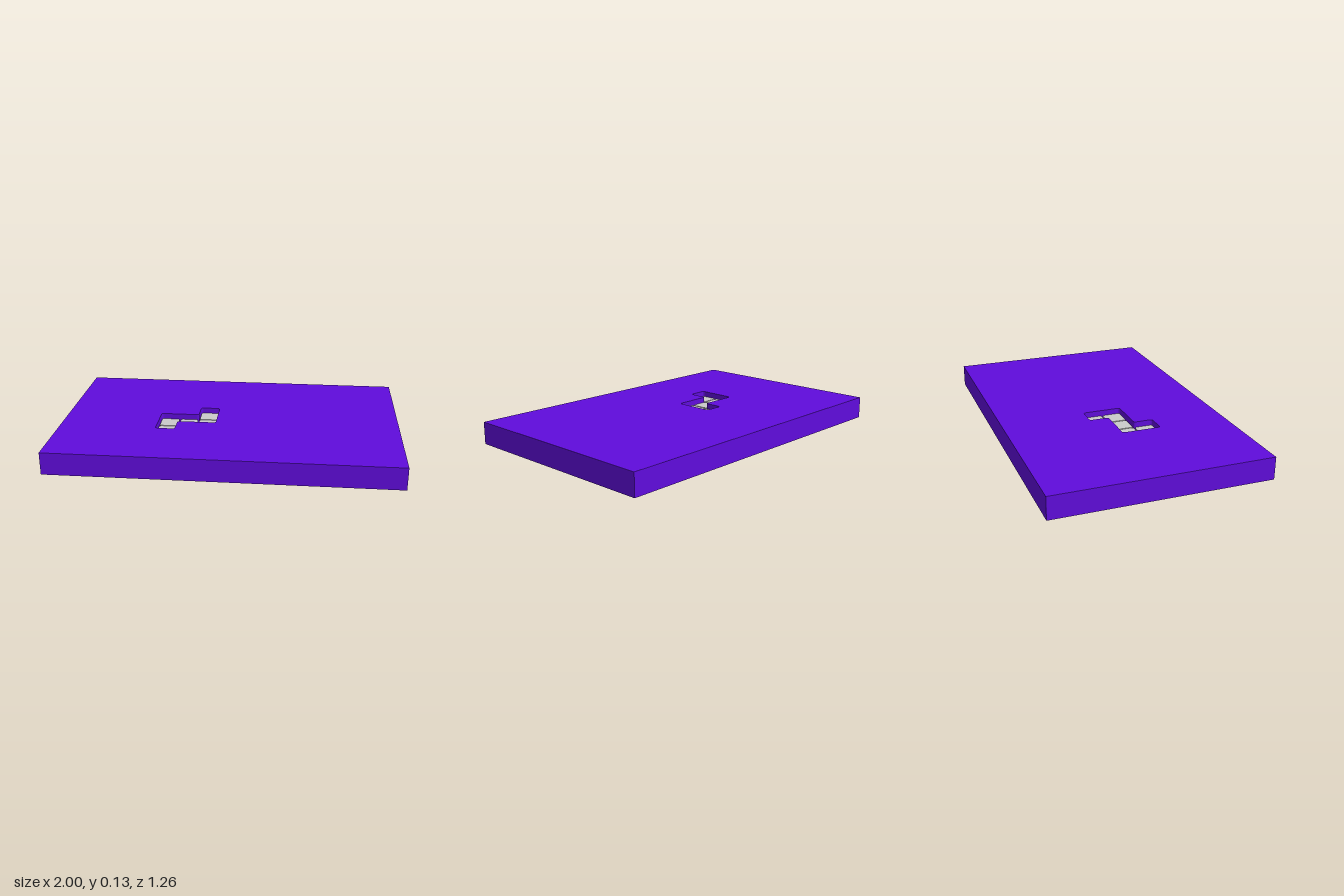
import * as THREE from 'three';

const HEIGHT = 0.132, FLOOR = 0.07, TILE_TOP = 0.1;
const CELL = 0.115, X0 = -0.43, Z0 = -0.125;

// Grid cells [column, row] holding a tile, and the outline around them
const CELLS = [[2, 0], [0, 1], [1, 1], [2, 1], [0, 2]];
const OUTLINE = [[2, 0], [3, 0], [3, 2], [1, 2], [1, 3], [0, 3], [0, 1], [2, 1]];

// Closed path through corner points, each corner rounded by radius r
function roundedPath(path, points, r) {
  const corners = points.map(([x, z]) => new THREE.Vector2(x, -z));
  const n = corners.length;
  const towards = (a, b) => b.clone().sub(a).setLength(r).add(a);
  corners.forEach((c, i) => {
    const a = towards(c, corners[(i + n - 1) % n]);
    const b = towards(c, corners[(i + 1) % n]);
    if (i === 0) path.moveTo(a.x, a.y);
    else path.lineTo(a.x, a.y);
    path.quadraticCurveTo(c.x, c.y, b.x, b.y);
  });
  path.closePath();
  return path;
}

// Upright prism of a plan shape between two heights
function prism(name, shape, y0, y1, material) {
  const geometry = new THREE.ExtrudeGeometry(shape, { depth: y1 - y0, bevelEnabled: false, curveSegments: 5 });
  geometry.rotateX(-Math.PI / 2).translate(0, y0, 0);
  const mesh = new THREE.Mesh(geometry, material);
  mesh.name = name;
  return mesh;
}

export function createModel() {
  const model = new THREE.Group();
  model.name = 'slabWithInlaidTiles';
  const purple = new THREE.MeshStandardMaterial({ color: 0x600cdc });
  const pale = new THREE.MeshStandardMaterial({ color: 0xdcdadd });
  const recess = OUTLINE.map(([c, r]) => [X0 + c * CELL, Z0 + r * CELL]);

  // Slab with a stepped opening
  const slab = new THREE.Shape([[-1, -0.63], [1, -0.63], [1, 0.63], [-1, 0.63]].map(([x, y]) => new THREE.Vector2(x, y)));
  slab.holes.push(roundedPath(new THREE.Path(), recess, 0.015));
  model.add(prism('slab', slab, 0, HEIGHT, purple));

  // Floor closing the opening
  model.add(prism('recessFloor', roundedPath(new THREE.Shape(), recess, 0.015), 0, FLOOR, purple));

  // Sunken rounded square tiles
  const tiles = new THREE.Group();
  tiles.name = 'tiles';
  const h = CELL / 2 - 0.004;
  for (const [c, r] of CELLS) {
    const x = X0 + (c + 0.5) * CELL, z = Z0 + (r + 0.5) * CELL;
    const square = [[x - h, z - h], [x + h, z - h], [x + h, z + h], [x - h, z + h]];
    tiles.add(prism('tile', roundedPath(new THREE.Shape(), square, 0.014), FLOOR, TILE_TOP, pale));
  }
  model.add(tiles);
  return model;
}
